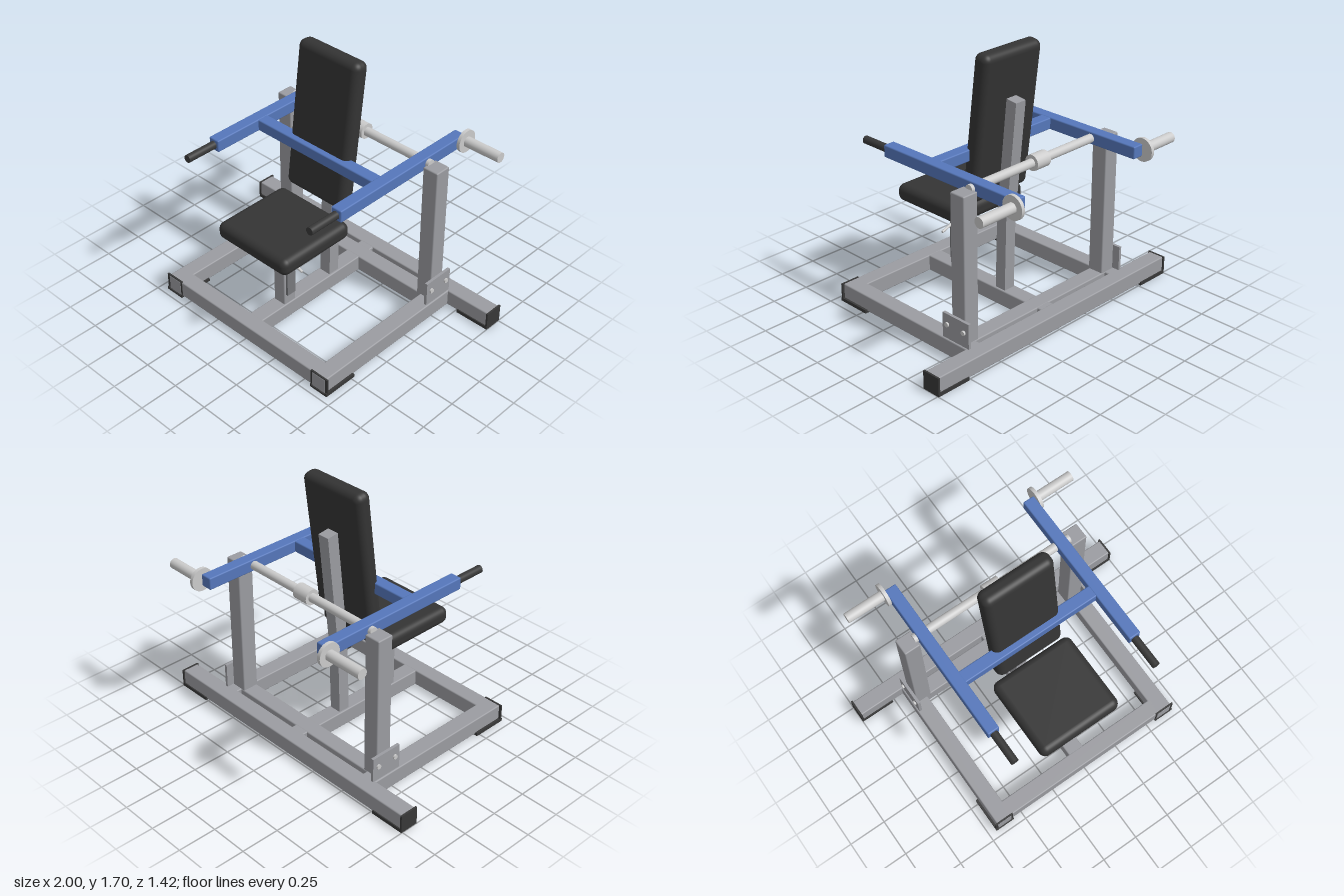
import * as THREE from 'three';
import { RoundedBoxGeometry } from 'three/addons/geometries/RoundedBoxGeometry.js';

const mat = (color) => new THREE.MeshStandardMaterial({ color });

export function createModel() {
  const model = new THREE.Group();
  const frame = mat(0x9b9ca1), steel = mat(0xcccccc), blue = mat(0x5577bb);
  const padding = mat(0x343434), rubber = mat(0x383838);

  const add = (name, geometry, material, parent = model) => {
    const mesh = new THREE.Mesh(geometry, material);
    mesh.name = name;
    parent.add(mesh);
    return mesh;
  };
  // Box given by its minimum and maximum corners, optionally with rounded edges
  const box = (name, material, x0, x1, y0, y1, z0, z1, r = 0, parent = model) => {
    const s = [x1 - x0, y1 - y0, z1 - z0];
    const g = r ? new RoundedBoxGeometry(...s, r > 0.02 ? 5 : 2, r) : new THREE.BoxGeometry(...s);
    const mesh = add(name, g, material, parent);
    mesh.position.set((x0 + x1) / 2, (y0 + y1) / 2, (z0 + z1) / 2);
    return mesh;
  };
  // Round bar between two points
  const rod = (name, material, a, b, r, parent = model) => {
    const p = new THREE.Vector3(...a), q = new THREE.Vector3(...b);
    const mesh = add(name, new THREE.CylinderGeometry(r, r, p.distanceTo(q), 32), material, parent);
    mesh.position.copy(p).add(q).multiplyScalar(0.5);
    mesh.quaternion.setFromUnitVectors(new THREE.Vector3(0, 1, 0), q.sub(p).normalize());
    return mesh;
  };

  // Base frame
  const R = 0.008;
  box('rearBeam', frame, -0.995, 0.995, 0.01, 0.118, -0.5, -0.392, R);
  box('frontBeam', frame, -0.6, 0.6, 0.01, 0.118, 0.592, 0.7, R);
  box('crossBeam', frame, -0.6, 0.6, 0.01, 0.118, -0.365, -0.257, R);
  box('centreRail', frame, -0.053, 0.053, 0.01, 0.117, -0.42, 0.62, R);

  // Parts repeated on both sides
  for (const s of [1, -1]) {
    const side = new THREE.Group();
    side.name = s > 0 ? 'leftSide' : 'rightSide';
    model.add(side);
    const b = (name, m, x0, x1, ...rest) =>
      box(name, m, Math.min(s * x0, s * x1), Math.max(s * x0, s * x1), ...rest, side);
    const bar = (name, m, a, c, r) =>
      rod(name, m, [s * a[0], a[1], a[2]], [s * c[0], c[1], c[2]], r, side);

    b('sideRail', frame, 0.573, 0.682, 0.01, 0.118, -0.42, 0.705, R);
    b('upright', frame, 0.545, 0.653, 0.1, 1.055, -0.362, -0.253, R);

    // Bolted bracket
    b('bracketPlate', frame, 0.653, 0.672, 0.1, 0.28, -0.41, -0.195, 0);
    for (const z of [-0.235, -0.37])
      bar('bracketBolt', steel, [0.66, 0.212, z], [0.683, 0.212, z], 0.015);

    // Rubber foot on the rear beam: sole, end and low side lips
    b('rearFootSole', rubber, 0.765, 1, 0, 0.012, -0.508, -0.384, 0);
    b('rearFootEnd', rubber, 0.988, 1, 0, 0.12, -0.508, -0.384, 0);
    b('rearFootLip', rubber, 0.765, 1, 0, 0.022, -0.508, -0.5, 0);
    b('rearFootLip', rubber, 0.765, 1, 0, 0.022, -0.392, -0.384, 0);

    // Rubber foot on the front corner
    b('frontFootSole', rubber, 0.564, 0.697, 0, 0.012, 0.475, 0.71, 0);
    b('frontFootEnd', rubber, 0.564, 0.697, 0, 0.122, 0.692, 0.703, 0);
    b('frontFootLip', rubber, 0.682, 0.697, 0, 0.022, 0.475, 0.71, 0);
    b('frontFootLip', rubber, 0.564, 0.573, 0, 0.022, 0.475, 0.71, 0);

    // Lever arm, hand grip and weight peg
    b('leverArm', blue, 0.46, 0.538, 1.016, 1.095, -0.645, 0.43, R);
    bar('handGrip', rubber, [0.499, 1.055, 0.4], [0.499, 1.055, 0.638], 0.025);
    bar('pegCollar', steel, [0.538, 1.055, -0.64], [0.56, 1.055, -0.64], 0.074);
    bar('weightPeg', steel, [0.55, 1.055, -0.64], [0.81, 1.055, -0.64], 0.033);
  }
  box('armCrossbar', blue, -0.47, 0.47, 1.018, 1.093, -0.09 + 0.11, 0.1, R);

  // Pivot shaft with central sleeve
  rod('pivotShaft', steel, [-0.56, 1.055, -0.308], [0.56, 1.055, -0.308], 0.028);
  rod('pivotSleeve', steel, [-0.055, 1.055, -0.308], [0.055, 1.055, -0.308], 0.05);

  // Bent post behind the backrest, side outline in (-z, y)
  const outline = new THREE.Shape([
    [0, 0.1], [0.078, 0.1], [0.09, 0.6], [0.167, 1.378], [0.09, 1.388], [0.013, 0.62],
  ].map(([u, v]) => new THREE.Vector2(u, v)));
  const post = add('backPost', new THREE.ExtrudeGeometry(outline, { depth: 0.08, bevelEnabled: false }), frame);
  post.rotation.y = Math.PI / 2;
  post.position.x = -0.04;

  // Backrest pad
  const back = add('backrest', new RoundedBoxGeometry(0.47, 0.96, 0.112, 6, 0.045), padding);
  back.position.set(0, 1.219, -0.01);
  back.rotation.x = -0.125;

  // Seat with post, adjustment plate and lever
  box('seatPad', padding, -0.287, 0.287, 0.585, 0.698, 0.077, 0.627, 0.045);
  box('seatPost', frame, -0.045, 0.045, 0.1, 0.6, 0.308, 0.4, R);
  box('adjustmentPlate', mat(0x77787c), 0.044, 0.06, 0.187, 0.545, 0.32, 0.386);
  rod('adjustmentLever', steel, [0.05, 0.447, 0.354], [0.155, 0.41, 0.354], 0.009);
  rod('leverBoss', steel, [0.05, 0.43, 0.354], [0.066, 0.43, 0.354], 0.016);

  return model;
}
